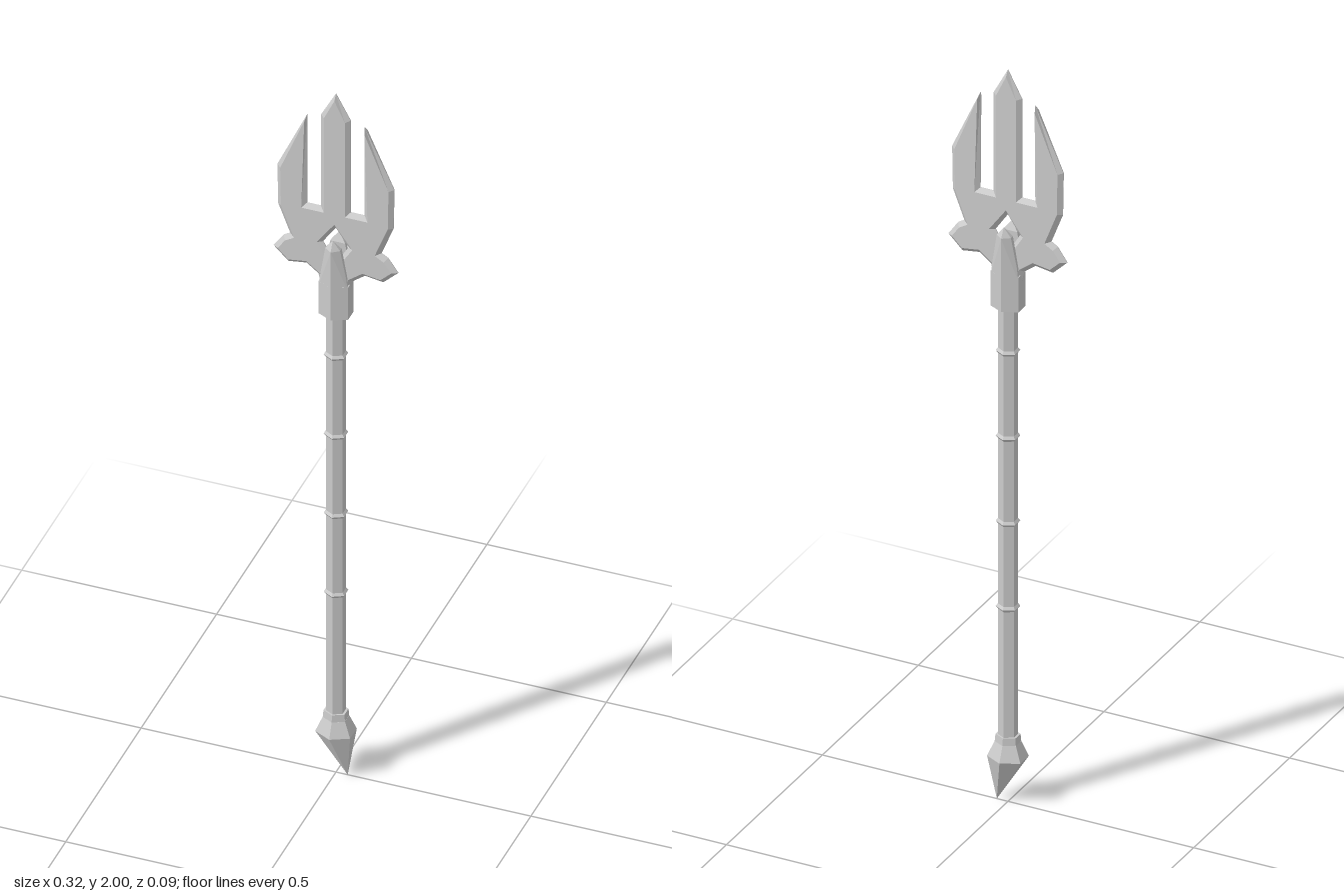
import * as THREE from 'three';
import { ConvexGeometry } from 'three/addons/geometries/ConvexGeometry.js';

const material = new THREE.MeshStandardMaterial({ color: 0xcccccc, flatShading: true });

function addMesh(group, name, geometry) {
  const mesh = new THREE.Mesh(geometry, material);
  mesh.name = name;
  group.add(mesh);
  return mesh;
}

// Six-sided section with an edge facing front and back, a little widened in x
function hex(y0, y1, r0, r1, widen = 1.15) {
  const geometry = new THREE.CylinderGeometry(r1, r0, y1 - y0, 6);
  geometry.scale(widen, 1, 1);
  geometry.translate(0, (y0 + y1) / 2, 0);
  return geometry;
}

// Flat three-pronged blade with bevelled edges and a diamond opening
function bladeGeometry() {
  const half = [
    [0.038, 1.93], [0.038, 1.66], [0.074, 1.66], [0.074, 1.92], [0.15, 1.755],
    [0.148, 1.64], [0.117, 1.56], [0.134, 1.55], [0.16, 1.513], [0.122, 1.476],
    [0.075, 1.483], [0.045, 1.46], [0.03, 1.4],
  ];
  const right = half.map(([x, y]) => new THREE.Vector2(x, y));
  const left = half.map(([x, y]) => new THREE.Vector2(-x, y)).reverse();
  const shape = new THREE.Shape([new THREE.Vector2(0, 2), ...right, ...left]);
  shape.holes.push(new THREE.Path([
    new THREE.Vector2(0, 1.605), new THREE.Vector2(-0.033, 1.557),
    new THREE.Vector2(0, 1.5), new THREE.Vector2(0.033, 1.557),
  ]));
  const geometry = new THREE.ExtrudeGeometry(shape, {
    depth: 0.002, bevelEnabled: true, bevelSegments: 1,
    bevelThickness: 0.01, bevelSize: 0.011, bevelOffset: -0.011,
  });
  geometry.translate(0, 0, -0.001);
  return geometry;
}

// Tapering jaw that rises from the socket and grips one face of the blade
function jawGeometry(side) {
  const points = [];
  const section = (y, w, inner, corner, ridge) => {
    for (const s of [-1, 1]) {
      points.push(new THREE.Vector3(s * w, y, side * inner));
      points.push(new THREE.Vector3(s * w, y, side * corner));
    }
    points.push(new THREE.Vector3(0, y, side * ridge));
  };
  section(1.44, 0.037, 0.011, 0.018, 0.036);
  section(1.475, 0.033, 0.011, 0.018, 0.036);
  section(1.555, 0.019, 0.011, 0.022, 0.036);
  points.push(new THREE.Vector3(0, 1.58, side * 0.022));
  return new ConvexGeometry(points);
}

export function createModel() {
  const model = new THREE.Group();
  model.name = 'trident';

  // Shaft and its evenly spaced rings
  addMesh(model, 'shaft', hex(0.15, 1.38, 0.023, 0.023, 1.08));
  for (let i = 0; i < 4; i++) {
    const y = 0.535 + i * 0.233;
    const ring = new THREE.Group();
    ring.name = 'shaftRing';
    addMesh(ring, 'ringLower', hex(y - 0.007, y, 0.023, 0.028, 1.08));
    addMesh(ring, 'ringUpper', hex(y, y + 0.007, 0.028, 0.023, 1.08));
    model.add(ring);
  }

  // Pommel: collar, shoulder and a spike leaning to one side
  const pommel = new THREE.Group();
  pommel.name = 'pommel';
  addMesh(pommel, 'collar', hex(0.16, 0.185, 0.029, 0.027));
  addMesh(pommel, 'shoulder', hex(0.125, 0.165, 0.045, 0.029));
  const spike = hex(0, 0.125, 0, 0.045);
  const p = spike.attributes.position;
  for (let i = 0; i < p.count; i++) {
    if (p.getY(i) < 0.06) p.setX(i, p.getX(i) + 0.03);
  }
  spike.computeVertexNormals();
  addMesh(pommel, 'spike', spike);
  model.add(pommel);

  // Socket with a front and a back jaw
  const socket = new THREE.Group();
  socket.name = 'socket';
  addMesh(socket, 'socketBody', hex(1.355, 1.45, 0.036, 0.036, 1.22));
  addMesh(socket, 'frontJaw', jawGeometry(1));
  addMesh(socket, 'backJaw', jawGeometry(-1));
  model.add(socket);

  addMesh(model, 'blade', bladeGeometry());
  return model;
}
